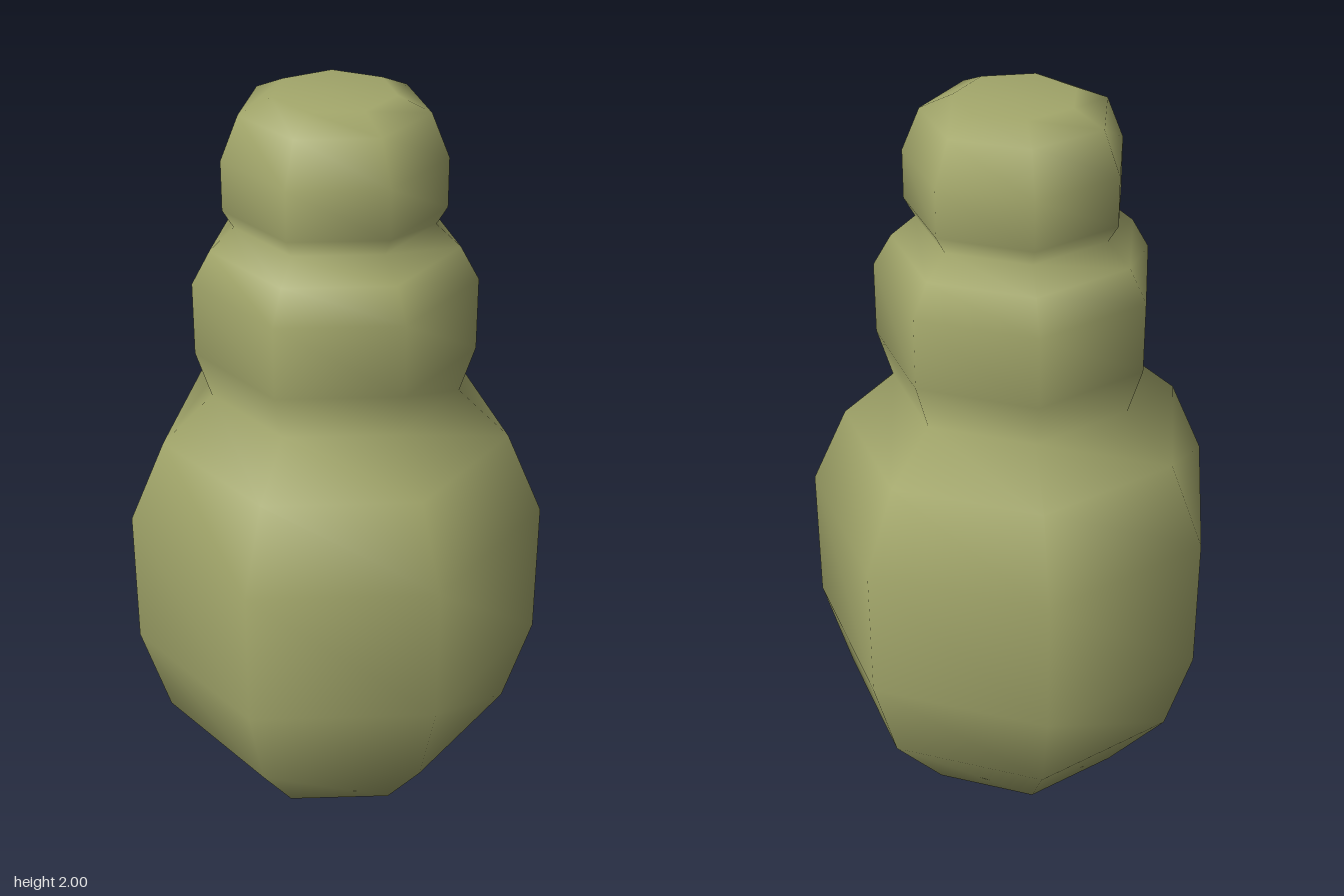
import * as THREE from 'three';

export function createModel() {
  const group = new THREE.Group();
  group.name = 'stackedFigure';

  const olive = new THREE.MeshStandardMaterial({ color: 0xa3a76b });
  olive.name = 'olive';

  // Profile as [radius, height], from the bottom to the top
  const base = [[0, 0], [0.318, 0], [0.487, 0.215]];
  const belly = [[0.563, 0.475], [0.563, 0.86], [0.467, 1.08]];
  const chest = [[0.331, 1.205], [0.371, 1.335], [0.371, 1.53], [0.323, 1.615]];
  const head = [[0.259, 1.672], [0.287, 1.72], [0.287, 1.85], [0.241, 1.962], [0.157, 2], [0, 2]];
  const profile = [...base, ...belly, ...chest, ...head].map(([r, y]) => new THREE.Vector2(r, y));

  // Seven-sided smooth body of three stacked bulges, one corner pointing backwards
  const body = new THREE.Mesh(new THREE.LatheGeometry(profile, 7, Math.PI), olive);
  body.name = 'body';
  body.position.z = 0.026;
  group.add(body);

  return group;
}
